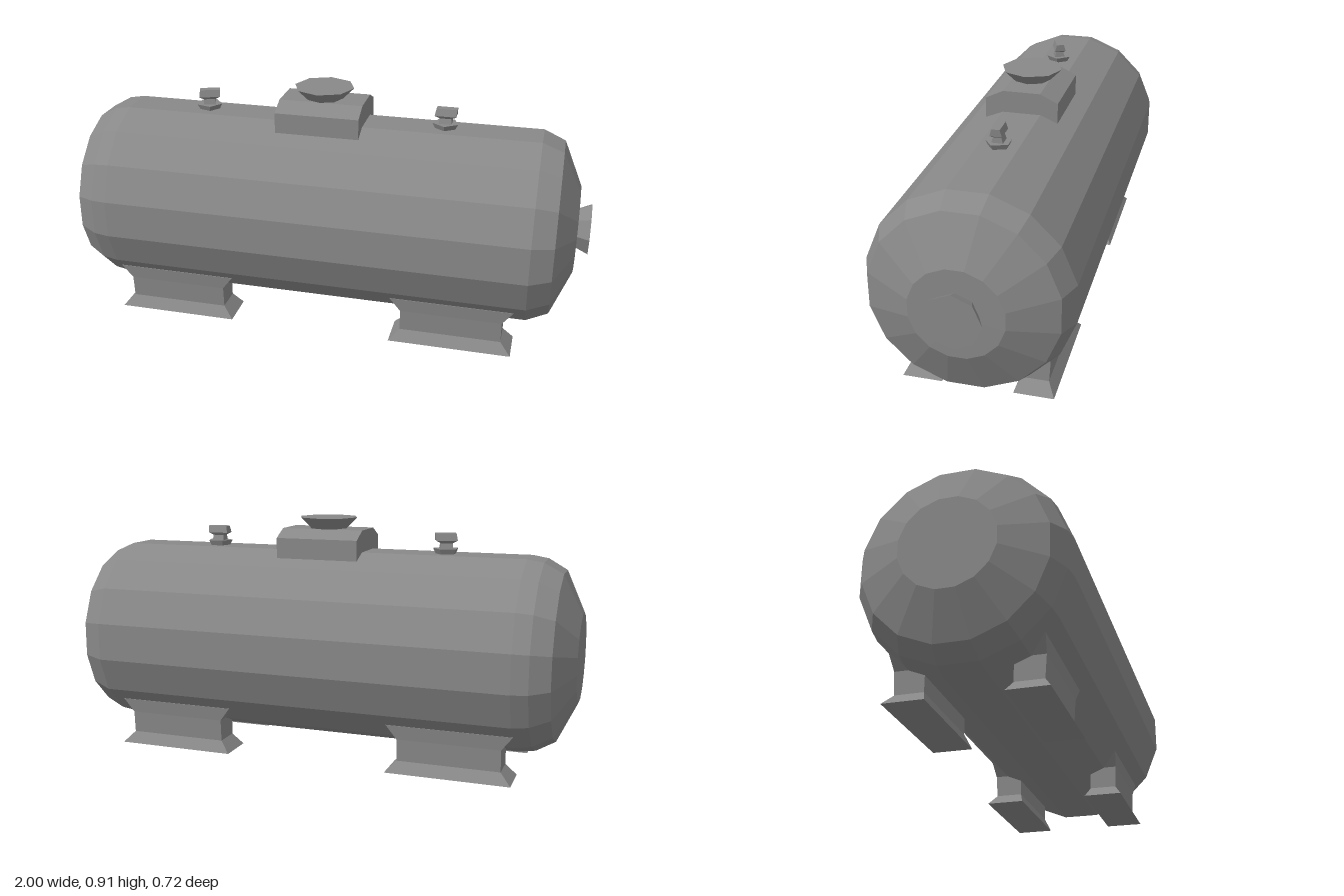
import * as THREE from 'three';

const steel = new THREE.MeshStandardMaterial({ color: 0x888888, flatShading: true });
steel.name = 'grey steel';

// Block lofted through rectangular sections [y, x0, x1, z0, z1], bottom to top
function loft(sections) {
  const n = sections.length - 1;
  const geo = new THREE.BoxGeometry(1, 1, 1, 1, n, 1);
  const pos = geo.attributes.position;
  for (let i = 0; i < pos.count; i++) {
    const [y, x0, x1, z0, z1] = sections[Math.round((pos.getY(i) + 0.5) * n)];
    pos.setXYZ(i, pos.getX(i) > 0 ? x1 : x0, y, pos.getZ(i) > 0 ? z1 : z0);
  }
  geo.computeVertexNormals();
  return geo;
}

export function createModel() {
  const group = new THREE.Group();
  const add = (name, geo, x = 0, y = 0, z = 0, parent = group) => {
    const mesh = new THREE.Mesh(geo, steel);
    mesh.name = name;
    mesh.position.set(x, y, z);
    parent.add(mesh);
    return mesh;
  };

  // Tank shell lying along x, with chamfered dished ends
  const profile = [
    [0, -1], [0.165, -1], [0.315, -0.93], [0.355, -0.86], [0.365, -0.8],
    [0.365, 0.8], [0.33, 0.88], [0.165, 0.953], [0, 0.955],
  ].map(([r, x]) => new THREE.Vector2(r, x));
  const shell = new THREE.LatheGeometry(profile, 16);
  shell.rotateY(Math.PI / 16).rotateZ(-Math.PI / 2);
  add('tankShell', shell, 0, 0.427, 0);

  // Flared round port on the left end
  const port = new THREE.CylinderGeometry(0.1, 0.072, 0.06, 8);
  port.rotateZ(-Math.PI / 2);
  add('endPort', port, 0.97, 0.43, 0);

  // Four feet with spread soles and waisted webs
  for (const x of [-0.57, 0.525]) {
    for (const side of [1, -1]) {
      const rows = [
        [0, 0.232, 0.13, 0.275], [0.042, 0.192, 0.147, 0.248],
        [0.125, 0.192, 0.147, 0.253], [0.178, 0.232, 0.14, 0.26],
      ];
      const foot = loft(rows.map(([y, h, a, b]) =>
        side > 0 ? [y, -h, h, a, b] : [y, -h, h, -b, -a]));
      add('foot', foot, x);
    }
  }

  // Manway: square housing sloped front and back, with a flared lid
  add('hatchHousing', loft([
    [0.7, -0.183, 0.137, -0.137, 0.137],
    [0.835, -0.183, 0.137, -0.137, 0.137],
    [0.867, -0.183, 0.137, -0.07, 0.07],
  ]));
  add('hatchLid', new THREE.CylinderGeometry(0.115, 0.065, 0.05, 8), -0.025, 0.885, 0);

  // Two small valves on top
  for (const [x, turn] of [[-0.49, 0.35], [0.44, 0]]) {
    const valve = new THREE.Group();
    valve.name = 'valve';
    valve.position.set(x, 0.79, 0);
    valve.rotation.y = turn;
    add('valveBase', new THREE.CylinderGeometry(0.05, 0.035, 0.03, 5), 0, 0, 0, valve);
    add('valveBody', loft([
      [0, -0.025, 0.025, -0.025, 0.025], [0.035, -0.022, 0.022, -0.015, 0.015],
      [0.045, -0.04, 0.04, -0.022, 0.022], [0.072, -0.035, 0.042, -0.015, 0.015],
    ]), 0, 0, 0, valve);
    group.add(valve);
  }

  return group;
}
